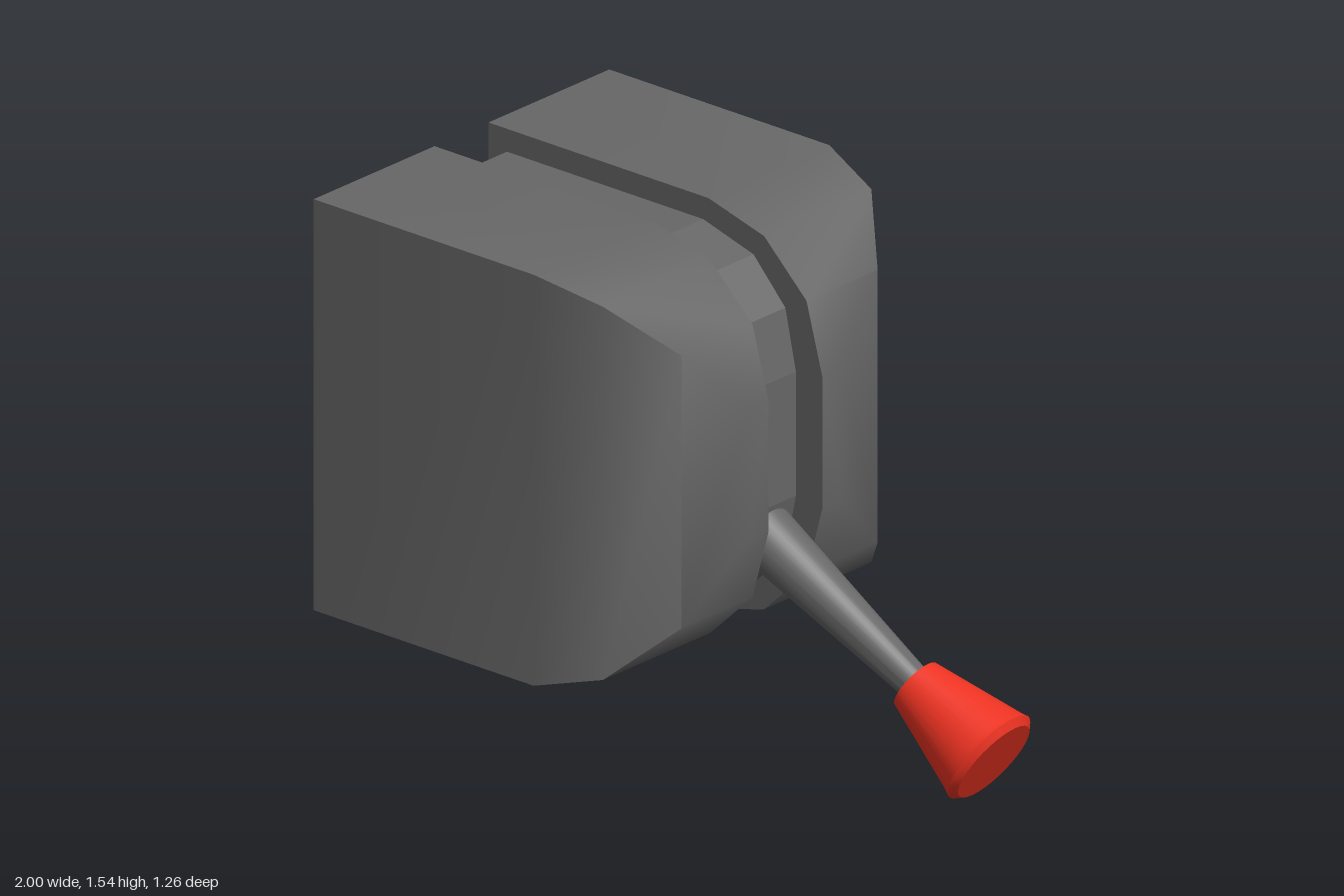
import * as THREE from 'three';
import { toCreasedNormals } from 'three/addons/utils/BufferGeometryUtils.js';

const CENTER_Y = 0.908;
const GROOVE = 0.115; // half width of the slot between the two halves

// One half of the housing: square cross-sections narrowing towards +x,
// cut flat along the slot. side is +1 or -1 in z.
function halfGeometry(side) {
  const sections = [[-1, 0.63], [-0.17, 0.63], [0.04, 0.572], [0.2, 0.418], [0.26, 0.2]];
  const rings = sections.map(([x, h]) => [
    [x, CENTER_Y - h, side * GROOVE],
    [x, CENTER_Y - h, side * h],
    [x, CENTER_Y + h, side * h],
    [x, CENTER_Y + h, side * GROOVE],
  ]);
  const positions = [];
  const quad = (a, b, c, d) => {
    const corners = side > 0 ? [a, b, c, a, c, d] : [a, c, b, a, d, c];
    corners.forEach((p) => positions.push(...p));
  };
  for (let i = 0; i < rings.length - 1; i++) {
    for (let j = 0; j < 4; j++) {
      const k = (j + 1) % 4;
      quad(rings[i][j], rings[i + 1][j], rings[i + 1][k], rings[i][k]);
    }
  }
  const [first, last] = [rings[0], rings[rings.length - 1]];
  quad(first[0], first[1], first[2], first[3]);
  quad(last[3], last[2], last[1], last[0]);
  const geometry = new THREE.BufferGeometry();
  geometry.setAttribute('position', new THREE.Float32BufferAttribute(positions, 3));
  return toCreasedNormals(geometry, 0.85);
}

// Recessed plate that fills the slot.
function coreGeometry() {
  const upper = [[-0.93, 0.56], [-0.19, 0.56], [0, 0.505], [0.12, 0.375], [0.16, 0.19]];
  const lower = upper.map(([x, y]) => [x, -y]).reverse();
  const shape = new THREE.Shape([...upper, ...lower].map(([x, y]) => new THREE.Vector2(x, y)));
  const geometry = new THREE.ExtrudeGeometry(shape, { depth: 2 * GROOVE, bevelEnabled: false });
  return geometry.translate(0, CENTER_Y, -GROOVE);
}

function lathe(points, segments = 32) {
  const profile = points.map(([r, y]) => new THREE.Vector2(r, y));
  return toCreasedNormals(new THREE.LatheGeometry(profile, segments), 0.5);
}

export function createModel() {
  const model = new THREE.Group();
  model.name = 'leverSwitch';
  const grey = new THREE.MeshStandardMaterial({ color: 0x666666 });
  const red = new THREE.MeshStandardMaterial({ color: 0xee3322 });
  const add = (parent, name, geometry, material) => {
    const mesh = new THREE.Mesh(geometry, material);
    mesh.name = name;
    parent.add(mesh);
  };

  // Housing
  add(model, 'frontHousing', halfGeometry(1), grey);
  add(model, 'backHousing', halfGeometry(-1), grey);
  add(model, 'slotCore', coreGeometry(), grey);

  // Lever, built along +y and then tilted out of the slot
  const start = new THREE.Vector3(0.1, 0.628, -0.026);
  const knobBase = new THREE.Vector3(0.655, 0.295, -0.065);
  const axis = knobBase.clone().sub(start);
  const length = axis.length();
  const lever = new THREE.Group();
  lever.name = 'lever';
  lever.position.copy(start);
  lever.quaternion.setFromUnitVectors(new THREE.Vector3(0, 1, 0), axis.normalize());
  model.add(lever);

  // Tapered shaft ending in the grey disc under the knob
  add(lever, 'shaft', lathe([[0, 0], [0.093, 0], [0.05, length], [0.083, length]]), grey);

  // Flared knob with a bevelled, flat end
  add(lever, 'knob', lathe([
    [0.083, length], [0.153, length + 0.285], [0.16, length + 0.305],
    [0.138, length + 0.325], [0, length + 0.325],
  ]), red);

  return model;
}
